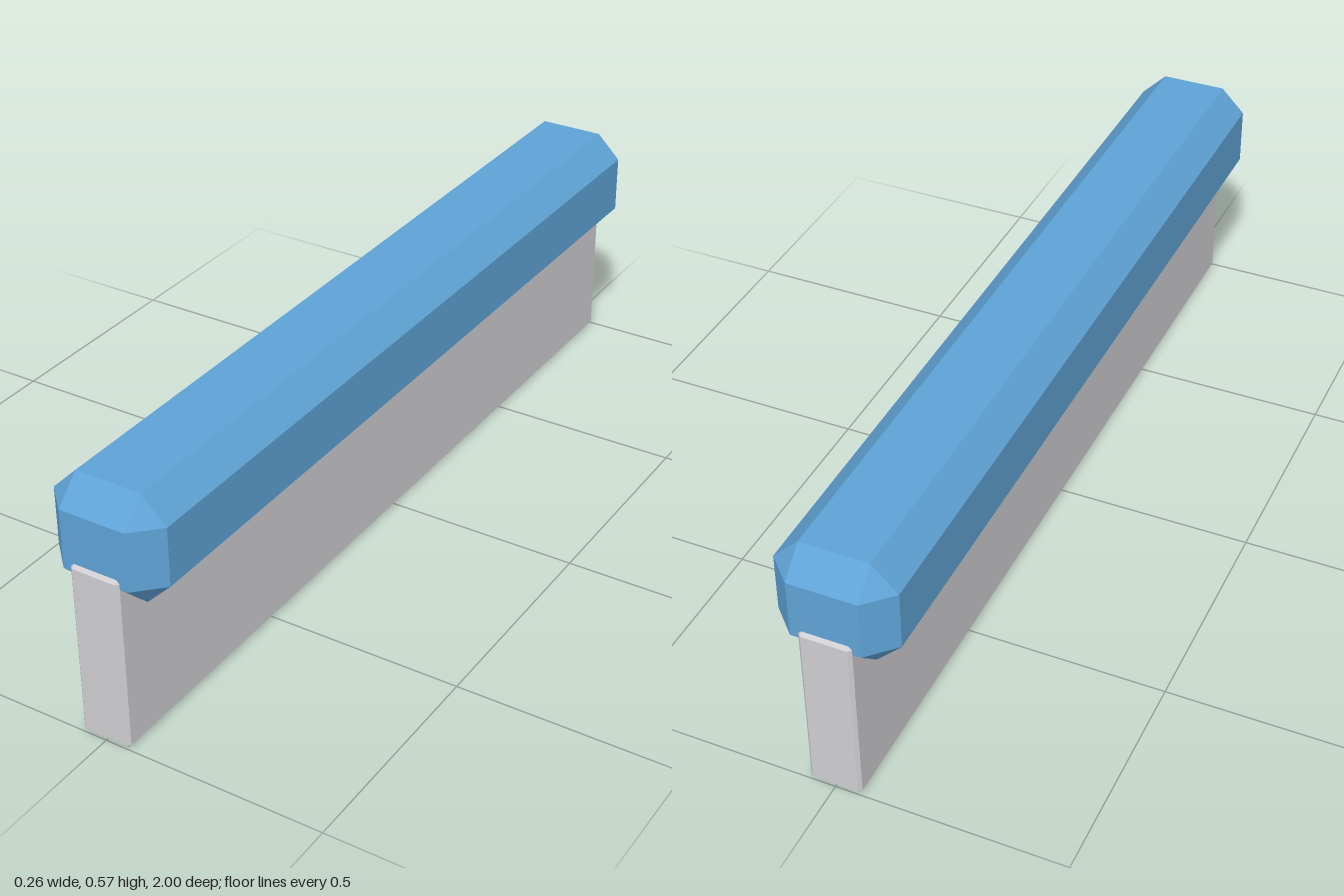
import * as THREE from 'three';
import { ConvexGeometry } from 'three/addons/geometries/ConvexGeometry.js';

// Box with every edge and corner bevelled at 45 degrees
function chamferedBox(width, height, depth, bevel) {
  const half = [width / 2, height / 2, depth / 2];
  const points = [];
  for (const sx of [-1, 1]) for (const sy of [-1, 1]) for (const sz of [-1, 1]) {
    const signs = [sx, sy, sz];
    for (let face = 0; face < 3; face++) {
      // Each corner is cut into three points, one per adjoining face
      const p = signs.map((s, axis) => s * (half[axis] - (axis === face ? 0 : bevel)));
      points.push(new THREE.Vector3(...p));
    }
  }
  return new ConvexGeometry(points);
}

export function createModel() {
  const blue = new THREE.MeshStandardMaterial({ color: 0x5fa3d6 });
  blue.name = 'blue';
  const lightGrey = new THREE.MeshStandardMaterial({ color: 0xcfcfd3 });
  lightGrey.name = 'lightGrey';

  const group = new THREE.Group();
  group.name = 'cappedWall';

  // Upright slab standing on the ground
  const wall = new THREE.Mesh(chamferedBox(0.113, 0.397, 2, 0.007), lightGrey);
  wall.name = 'wall';
  wall.position.y = 0.1985;

  // Thick bevelled rail along the top
  const rail = new THREE.Mesh(chamferedBox(0.262, 0.244, 1.985, 0.056), blue);
  rail.name = 'topRail';
  rail.position.y = 0.444;

  group.add(wall, rail);
  return group;
}
